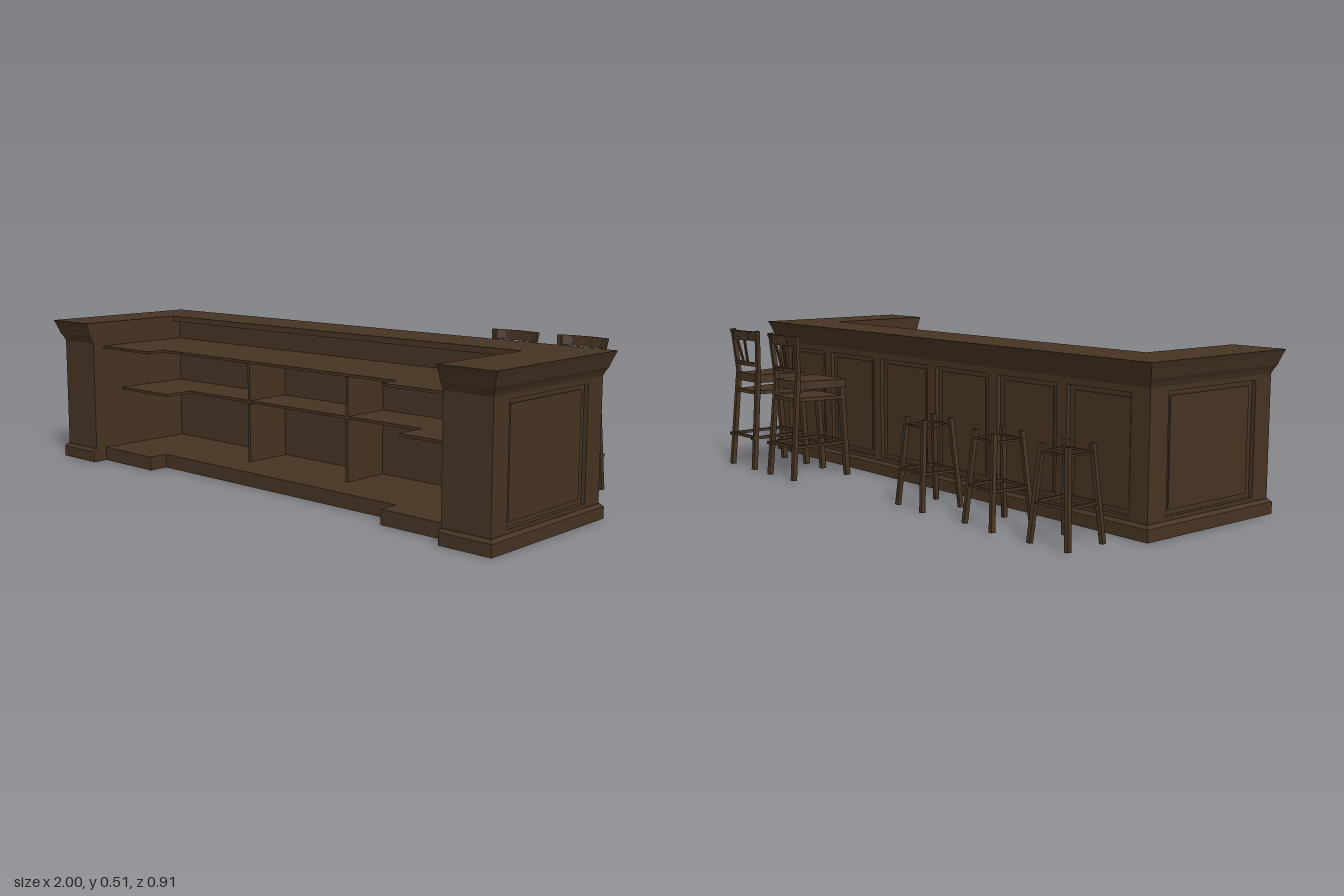
import * as THREE from 'three';

const wood = new THREE.MeshStandardMaterial({ color: 0x463322 });
wood.name = 'dark wood';

function add(parent, name, geometry) {
  const mesh = new THREE.Mesh(geometry, wood);
  mesh.name = name;
  parent.add(mesh);
  return mesh;
}

// Box given by its two opposite corners
function box(parent, name, x0, x1, y0, y1, z0, z1) {
  const g = new THREE.BoxGeometry(x1 - x0, y1 - y0, z1 - z0);
  g.translate((x0 + x1) / 2, (y0 + y1) / 2, (z0 + z1) / 2);
  return add(parent, name, g);
}

// Solid joining horizontal rings; ring = { y, pts: [[x, z], ...] }
function loft(rings) {
  const pos = [];
  const n = rings[0].pts.length;
  const put = (r, i) => pos.push(r.pts[i % n][0], r.y, r.pts[i % n][1]);
  for (let k = 0; k + 1 < rings.length; k++) {
    const a = rings[k], b = rings[k + 1];
    for (let i = 0; i < n; i++) {
      put(a, i); put(a, i + 1); put(b, i + 1);
      put(a, i); put(b, i + 1); put(b, i);
    }
  }
  const cap = (r, up) => {
    const flat = r.pts.map(([x, z]) => new THREE.Vector2(x, -z));
    for (const [a, b, c] of THREE.ShapeUtils.triangulateShape(flat, [])) {
      put(r, a); put(r, up ? b : c); put(r, up ? c : b);
    }
  };
  cap(rings[0], false);
  cap(rings[rings.length - 1], true);
  const g = new THREE.BufferGeometry();
  g.setAttribute('position', new THREE.Float32BufferAttribute(pos, 3));
  g.computeVertexNormals();
  return g;
}

const slab = (pts, y0, y1) => loft([{ y: y0, pts }, { y: y1, pts }]);

// Symmetric outline from its +x half, listed from the middle outwards
const mirrored = half => [...half.map(([x, z]) => [-x, z]).reverse(), ...half];

// U plan of the bar, grown outwards by o, with the inner wall at z = inner
const plan = (o, inner) => mirrored([[0.8, inner], [0.8, 0.423 + o], [0.97 + o, 0.423 + o], [0.97 + o, -0.123 - o]]);
const plinthPlan = o => mirrored([[0.54, 0.31], [0.54, 0.38], [0.8, 0.38], [0.8, 0.423 + o], [0.97 + o, 0.423 + o], [0.97 + o, -0.123 - o]]);
const innerPlan = (zMid, zEnd) => mirrored([[0.54, zMid], [0.54, zEnd], [0.8, zEnd], [0.8, 0]]);

// Square bar between two points
function beam(parent, name, a, b, w, d = w) {
  const p = new THREE.Vector3(...a), q = new THREE.Vector3(...b);
  const mesh = add(parent, name, new THREE.BoxGeometry(w, p.distanceTo(q), d));
  mesh.position.copy(p).add(q).multiplyScalar(0.5);
  mesh.quaternion.setFromUnitVectors(new THREE.Vector3(0, 1, 0), q.sub(p).normalize());
  return mesh;
}

function buildCounter() {
  const bar = new THREE.Group();
  bar.name = 'barCounter';

  add(bar, 'plinth', loft([[0, 0.012], [0.038, 0.012], [0.048, 0.002]].map(([y, o]) => ({ y, pts: plinthPlan(o) }))));
  add(bar, 'bodyCore', slab(plan(-0.014, 0.02), 0.045, 0.445));
  add(bar, 'cornice', loft([
    [0.435, 0, 0.02], [0.45, 0.006, 0.02], [0.462, 0.013, 0.02], [0.475, 0.017, 0.02],
    [0.49, 0.022, 0.02], [0.49, 0.022, 0.05], [0.51, 0.03, 0.05],
  ].map(([y, o, inner]) => ({ y, pts: plan(o, inner) }))));

  // Panel frames on the back
  box(bar, 'backTopRail', -0.97, 0.97, 0.415, 0.445, -0.123, -0.1);
  box(bar, 'backBottomRail', -0.97, 0.97, 0.045, 0.06, -0.123, -0.1);
  const panels = 6, pitch = 1.87 / panels;
  for (let i = 0; i <= panels; i++) {
    const x = -0.935 + i * pitch;
    const w = i === 0 || i === panels ? 0.035 : 0.022;
    box(bar, 'backStile', x - w, x + w, 0.05, 0.43, -0.123, -0.1);
    if (i < panels) box(bar, 'backPanel', x + 0.045, x + pitch - 0.045, 0.075, 0.4, -0.113, -0.1);
  }

  // Panel frames on the two ends, and the arm fronts
  for (const s of [-1, 1]) {
    const side = (name, y0, y1, z0, z1, out = 0.97) =>
      box(bar, name, s > 0 ? 0.94 : -out, s > 0 ? out : -0.94, y0, y1, z0, z1);
    side('endTopRail', 0.42, 0.445, -0.123, 0.423);
    side('endBottomRail', 0.045, 0.06, -0.123, 0.423);
    side('endBackStile', 0.05, 0.43, -0.123, -0.045);
    side('endFrontStile', 0.05, 0.43, 0.35, 0.423);
    side('endPanel', 0.075, 0.405, -0.025, 0.33, 0.96);
    box(bar, 'armFront', s > 0 ? 0.8 : -0.97, s > 0 ? 0.97 : -0.8, 0.045, 0.445, 0.4, 0.423);
    box(bar, 'shelfDivider', s * 0.23 - 0.005, s * 0.23 + 0.005, 0.045, 0.417, 0, 0.19);
  }

  // Working side
  add(bar, 'worktop', slab(innerPlan(0.31, 0.38), 0.415, 0.424));
  add(bar, 'shelf', slab(innerPlan(0.19, 0.3), 0.255, 0.264));
  return bar;
}

// High chair, facing the bar
function buildChair() {
  const chair = new THREE.Group();
  chair.name = 'highChair';
  const seat = mirrored([[0.093, -0.232], [0.09, -0.27], [0.07, -0.37], [0.066, -0.415]].map(([x, z]) => [x, z]).reverse());
  // Outline runs front to back along +x
  const outline = mirrored([[0.093, -0.232], [0.09, -0.28], [0.07, -0.37], [0.066, -0.415]]);
  add(chair, 'seat', slab(outline, 0.318, 0.347));
  add(chair, 'underSeat', slab(seat.length ? outline.map(([x, z]) => [x * 0.93, z - 0.008]) : outline, 0.276, 0.289));
  for (const s of [-1, 1]) {
    beam(chair, 'frontLeg', [s * 0.078, 0, -0.22], [s * 0.078, 0.335, -0.241], 0.018);
    beam(chair, 'backLeg', [s * 0.078, 0.005, -0.443], [s * 0.068, 0.35, -0.414], 0.016);
    beam(chair, 'backPost', [s * 0.068, 0.34, -0.413], [s * 0.086, 0.508, -0.424], 0.014);
    beam(chair, 'sideStretcher', [s * 0.078, 0.12, -0.225], [s * 0.076, 0.12, -0.452], 0.01);
    beam(chair, 'backSlat', [s * 0.014, 0.385, -0.423], [s * 0.026, 0.48, -0.443], 0.011, 0.005);
    // Halves of the bowed rails
    beam(chair, 'topRail', [s * 0.09, 0.49, -0.426], [s * 0.045, 0.49, -0.441], 0.034, 0.008);
    beam(chair, 'topRail', [s * 0.05, 0.49, -0.441], [0, 0.49, -0.445], 0.034, 0.008);
    beam(chair, 'lowerRail', [s * 0.072, 0.385, -0.416], [0, 0.385, -0.425], 0.014, 0.008);
  }
  beam(chair, 'frontStretcher', [-0.078, 0.12, -0.229], [0.078, 0.12, -0.229], 0.01);
  beam(chair, 'backStretcher', [-0.076, 0.12, -0.433], [0.076, 0.12, -0.433], 0.01);
  return chair;
}

// Open stool frame: splayed legs and thin rails
function buildStool() {
  const stool = new THREE.Group();
  stool.name = 'stoolFrame';
  const corners = [[-1, -1], [1, -1], [1, 1], [-1, 1]];
  const at = ([sx, sz], y) => {
    const r = 0.072 - 0.08 * y;
    return [sx * r, y, sz * r];
  };
  corners.forEach((c, i) => {
    const next = corners[(i + 1) % 4];
    beam(stool, 'stoolLeg', at(c, 0), at(c, 0.285), 0.014);
    beam(stool, 'topRail', at(c, 0.26), at(next, 0.26), 0.006);
    beam(stool, 'footRail', at(c, 0.118), at(next, 0.118), 0.008);
  });
  return stool;
}

export function createModel() {
  const model = new THREE.Group();
  model.name = 'barWithSeating';
  model.add(buildCounter());
  for (const x of [0.445, 0.71]) {
    const chair = buildChair();
    chair.position.x = x;
    model.add(chair);
  }
  for (const [x, turn] of [[-0.835, 0.05], [-0.55, -0.12], [-0.22, -0.1]]) {
    const stool = buildStool();
    stool.position.set(x, 0, -0.308);
    stool.rotation.y = turn;
    model.add(stool);
  }
  return model;
}
